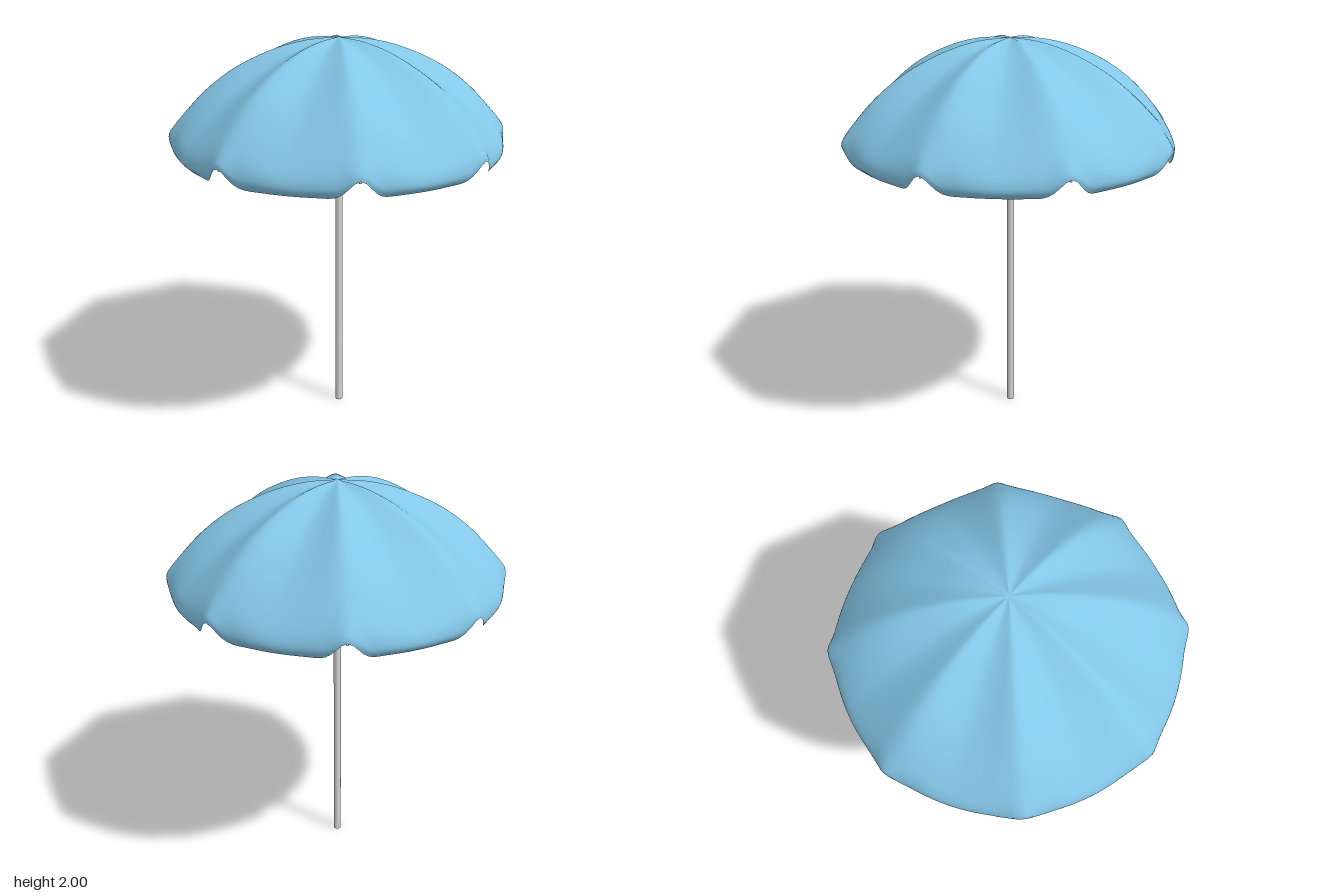
import * as THREE from 'three';
import { mergeVertices } from 'three/addons/utils/BufferGeometryUtils.js';

const RIBS = 8;
const SECTOR = (Math.PI * 2) / RIBS;

const curve = (pts) =>
  new THREE.CatmullRomCurve3(pts.map(([r, y]) => new THREE.Vector3(r, y, 0)), false, 'centripetal');

// Meridians as (radius, height): along a rib, and along the middle of a cloth panel
const ribLine = curve([[0, 2], [0.15, 1.989], [0.3, 1.953], [0.5, 1.864], [0.65, 1.755],
  [0.76, 1.642], [0.81, 1.585], [0.835, 1.55], [0.84, 1.53]]);
const panelLine = curve([[0, 2], [0.15, 1.972], [0.3, 1.915], [0.5, 1.8], [0.65, 1.685],
  [0.76, 1.575], [0.805, 1.51], [0.81, 1.47], [0.785, 1.442]]);

// Rounded distance from a rib, so the ridge over it is soft
const soft = (off) => Math.hypot(off, 0.07) - 0.07;

// Cloth canopy: panels sag between the ribs and droop below them at the rim
function canopyGeometry() {
  const cols = RIBS * 28, rows = 36;
  const pos = [0, 2, 0], index = [];
  for (let i = 1; i <= rows; i++) {
    const t = i / rows;
    const rib = ribLine.getPoint(t), panel = panelLine.getPoint(t);
    const rim = THREE.MathUtils.smoothstep(t, 0.55, 1);
    for (let j = 0; j < cols; j++) {
      const a = (j / cols) * Math.PI * 2;
      const off = Math.abs(a - Math.round(a / SECTOR) * SECTOR);
      const broad = Math.pow(1 - soft(off) / soft(SECTOR / 2), 1.7);
      const blend = (width) => THREE.MathUtils.lerp(broad, Math.exp(-((off / width) ** 2)), rim);
      const r = THREE.MathUtils.lerp(panel.x, rib.x, blend(0.12));
      const y = THREE.MathUtils.lerp(panel.y, rib.y, blend(0.08));
      pos.push(r * Math.sin(a), y, r * Math.cos(a));
    }
  }
  const id = (i, j) => 1 + (i - 1) * cols + (j % cols);
  for (let j = 0; j < cols; j++) {
    index.push(0, id(1, j), id(1, j + 1));
    for (let i = 1; i < rows; i++) {
      const a = id(i, j), b = id(i + 1, j), c = id(i + 1, j + 1), d = id(i, j + 1);
      index.push(a, b, c, a, c, d);
    }
  }
  const geo = new THREE.BufferGeometry();
  geo.setAttribute('position', new THREE.Float32BufferAttribute(pos, 3));
  geo.setIndex(index);
  geo.computeVertexNormals();
  return geo;
}

// Pole whose end caps share smooth normals with its side
function poleGeometry() {
  const geo = new THREE.CylinderGeometry(0.019, 0.019, 1.97, 24);
  geo.deleteAttribute('normal');
  geo.deleteAttribute('uv');
  const smooth = mergeVertices(geo);
  smooth.computeVertexNormals();
  return smooth;
}

export function createModel() {
  const model = new THREE.Group();
  model.name = 'parasol';

  const cloth = new THREE.MeshStandardMaterial({ color: 0x84c7e8, side: THREE.DoubleSide });
  cloth.name = 'blue cloth';
  const metal = new THREE.MeshStandardMaterial({ color: 0xd6d6d6 });
  metal.name = 'light grey metal';
  const frame = new THREE.MeshStandardMaterial({ color: 0xd6cbc5 });
  frame.name = 'warm grey frame';

  const add = (name, geo, mat, parent = model) => {
    const mesh = new THREE.Mesh(geo, mat);
    mesh.name = name;
    parent.add(mesh);
    return mesh;
  };

  add('canopy', canopyGeometry(), cloth);
  add('pole', poleGeometry(), metal).position.y = 0.985;

  // Curved ribs under the cloth, tucked lower near the crown where the ridges are narrow
  const ribPath = new THREE.CatmullRomCurve3(ribLine.getPoints(16).map((p, i) =>
    new THREE.Vector3(p.x * 0.985, p.y - THREE.MathUtils.lerp(0.03, 0.012, Math.min(1, i / 6)), 0)));
  const ribGeo = new THREE.TubeGeometry(ribPath, 28, 0.006, 8);

  // Straight struts from the pole out to the ribs
  const strutPath = new THREE.LineCurve3(new THREE.Vector3(0.01, 1.53, 0), new THREE.Vector3(0.5, 1.848, 0));
  const strutGeo = new THREE.TubeGeometry(strutPath, 1, 0.006, 8);

  for (let k = 0; k < RIBS; k++) {
    const arm = new THREE.Group();
    arm.name = 'frameArm' + (k + 1);
    arm.rotation.y = k * SECTOR;
    add('rib', ribGeo, frame, arm);
    add('strut', strutGeo, frame, arm);
    model.add(arm);
  }
  return model;
}
